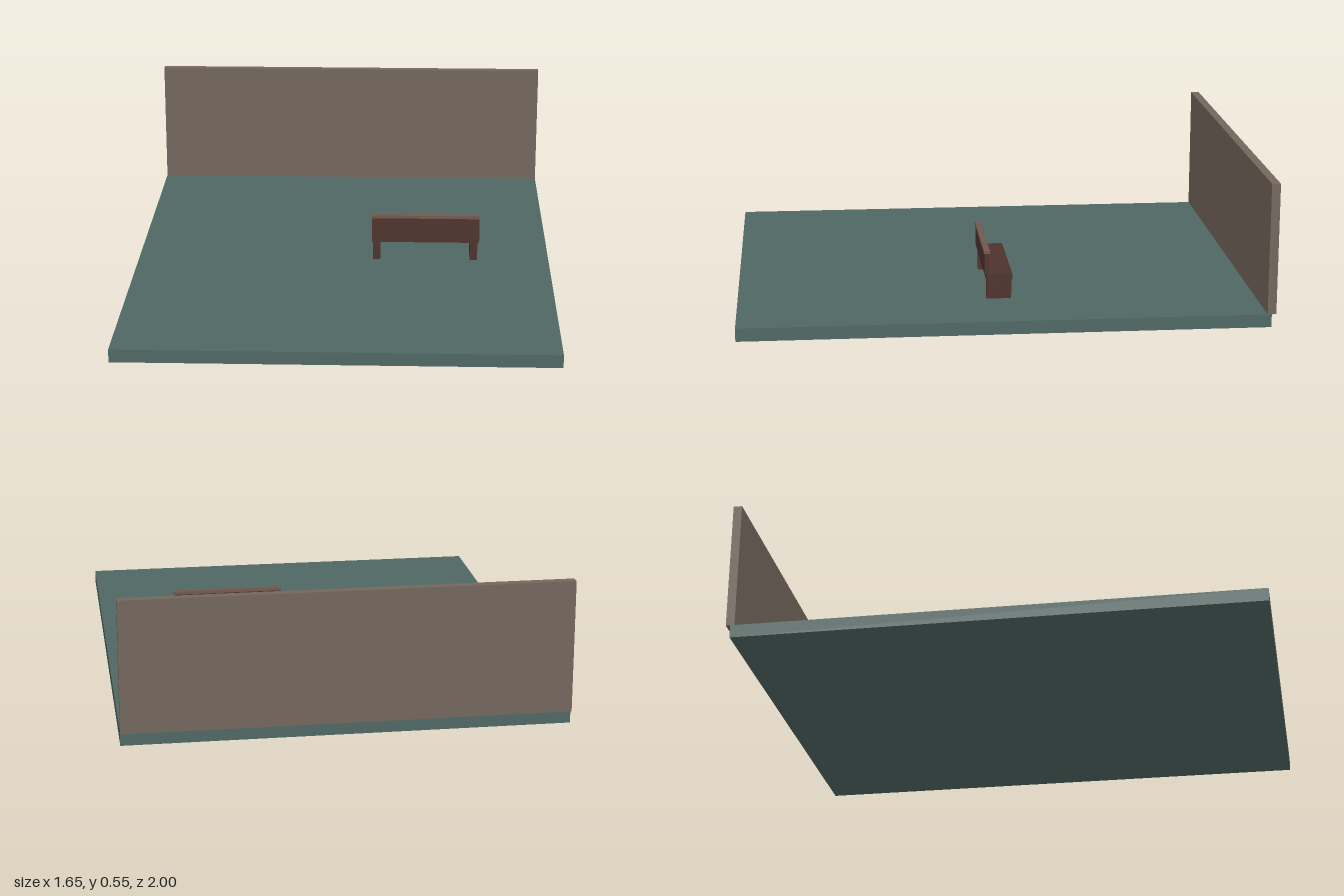
import * as THREE from 'three';

const material = (name, color) => {
  const m = new THREE.MeshStandardMaterial({ color });
  m.name = name;
  return m;
};

// Box given by its lower and upper limits on each axis
function block(name, mat, [x0, x1], [y0, y1], [z0, z1]) {
  const mesh = new THREE.Mesh(new THREE.BoxGeometry(x1 - x0, y1 - y0, z1 - z0), mat);
  mesh.position.set((x0 + x1) / 2, (y0 + y1) / 2, (z0 + z1) / 2);
  mesh.name = name;
  return mesh;
}

export function createModel() {
  const green = material('grey green floor', 0x4f6763);
  const taupe = material('taupe wall', 0x73665c);
  const wood = material('dark brown wood', 0x4e322c);
  const trim = material('light brown trim', 0x6f594e);

  const model = new THREE.Group();
  model.name = 'benchByWall';

  // Ground slab and the wall along its back edge
  model.add(block('floor', green, [-0.825, 0.825], [0, 0.05], [-0.983, 1]));
  model.add(block('backWall', taupe, [-0.825, 0.825], [0.05, 0.55], [-1, -0.967]));

  // Bench facing the wall, with its backrest on the +z side
  const bench = new THREE.Group();
  bench.name = 'bench';
  bench.add(block('seat', wood, [0.115, 0.545], [0.125, 0.148], [-0.042, 0.058]));
  bench.add(block('backrest', wood, [0.115, 0.545], [0.148, 0.23], [0.047, 0.064]));
  bench.add(block('backrestCap', trim, [0.113, 0.547], [0.229, 0.241], [0.044, 0.067]));
  for (const [name, x] of [['rightLeg', 0.133], ['leftLeg', 0.523]]) {
    bench.add(block(name, wood, [x - 0.015, x + 0.015], [0.05, 0.125], [-0.038, 0.056]));
  }
  model.add(bench);
  return model;
}
